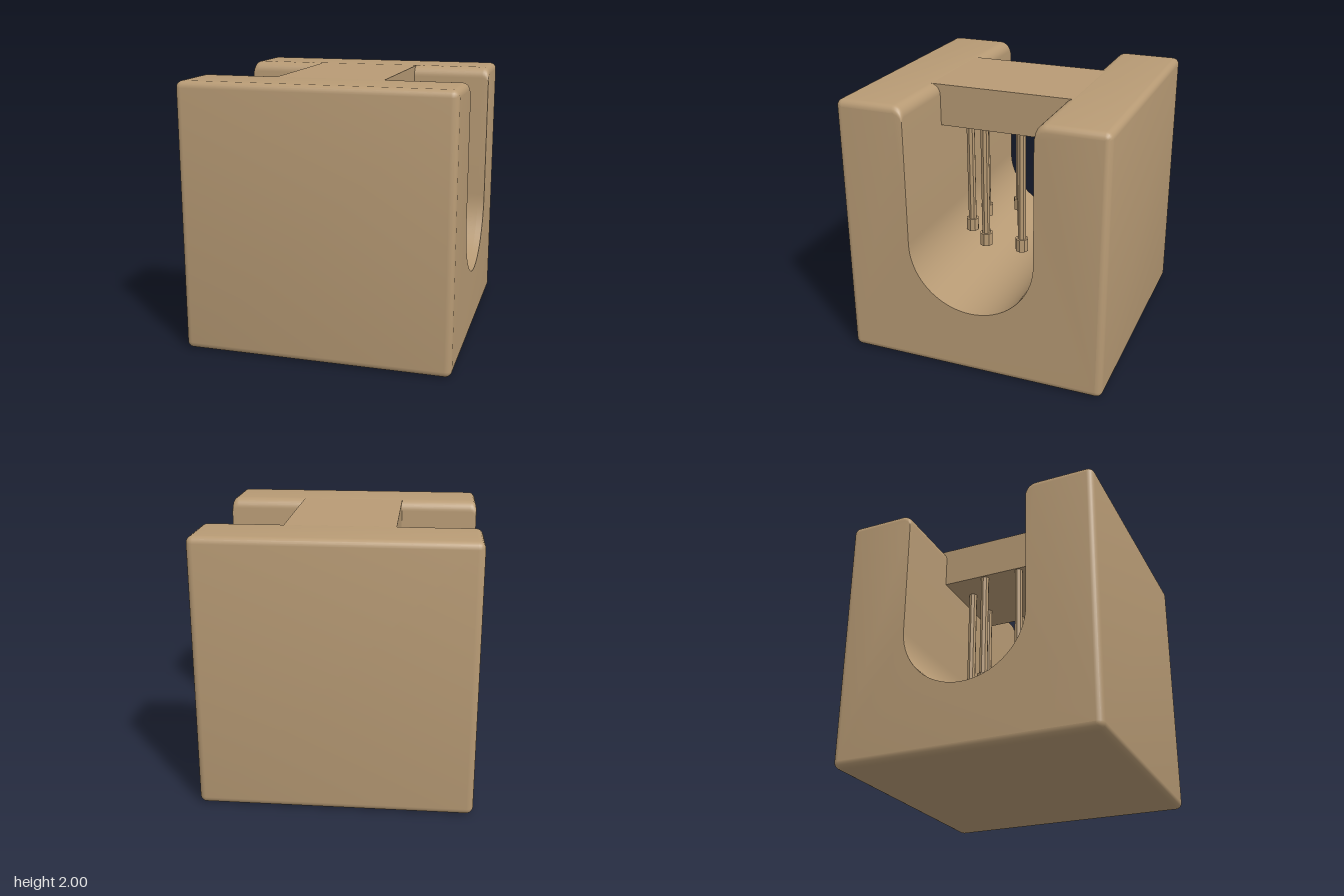
import * as THREE from 'three';
import { toCreasedNormals } from 'three/addons/utils/BufferGeometryUtils.js';

const EDGE = 0.05;   // rounding of the outer edges
const LIP = 0.08;    // rounding of the slot's upper edges
const SLOT = 0.48;   // half width of the slot
const SLOT_Y = 0.97; // centre height of the slot's round floor

// Outline of the block across its width; c is the outer corner radius here
function outline(c) {
  const pts = [];
  const arc = (u, y, r, from, to, n) => {
    for (let i = 0; i <= n; i++) {
      const a = THREE.MathUtils.degToRad(from + (to - from) * i / n);
      pts.push(new THREE.Vector2(u + r * Math.cos(a), y + r * Math.sin(a)));
    }
  };
  const k = 1 - EDGE, top = 2 - EDGE, lipY = top + c - LIP;
  arc(k, EDGE, c, -90, 0, 5);
  arc(k, top, c, 0, 90, 5);
  arc(SLOT + LIP, lipY, LIP, 90, 180, 8);
  arc(0, SLOT_Y, SLOT, 0, -180, 40);
  arc(-SLOT - LIP, lipY, LIP, 0, 90, 8);
  arc(-k, top, c, 90, 180, 5);
  arc(-k, EDGE, c, 180, 270, 5);
  return pts;
}

// Loft the outline along x, rounding the outer edges but not the slot ends
function blockGeometry() {
  const steps = 5, half = [];
  for (let i = 0; i <= steps; i++) {
    const a = (i / steps) * Math.PI / 2;
    half.push({ x: 1 - EDGE + EDGE * Math.sin(a), c: Math.max(0.001, EDGE * Math.cos(a)) });
  }
  const sections = [...half.map((s) => ({ x: -s.x, c: s.c })).reverse(), ...half];
  const loops = sections.map((s) => outline(s.c));
  const n = loops[0].length, pos = [], index = [];
  loops.forEach((loop, i) => loop.forEach((p) => pos.push(sections[i].x, p.y, -p.x)));
  for (let i = 0; i < loops.length - 1; i++) {
    for (let j = 0; j < n; j++) {
      const k = (j + 1) % n;
      const a = i * n + j, b = i * n + k, c = a + n, d = b + n;
      index.push(a, b, c, b, d, c);
    }
  }
  // Flat ends
  const last = (loops.length - 1) * n;
  for (const [a, b, c] of THREE.ShapeUtils.triangulateShape(loops[0], [])) {
    index.push(c, b, a, last + a, last + b, last + c);
  }
  const geo = new THREE.BufferGeometry();
  geo.setAttribute('position', new THREE.Float32BufferAttribute(pos, 3));
  geo.setIndex(index);
  return toCreasedNormals(geo, 0.7);
}

export function createModel() {
  const group = new THREE.Group();
  const tan = new THREE.MeshStandardMaterial({ color: 0xb89b75 });
  tan.name = 'tan';

  const add = (parent, name, geo, x, y, z) => {
    const mesh = new THREE.Mesh(geo, tan);
    mesh.name = name;
    mesh.position.set(x, y, z);
    parent.add(mesh);
    return mesh;
  };

  add(group, 'slottedBlock', blockGeometry(), 0, 0, 0);
  add(group, 'bridge', new THREE.BoxGeometry(0.8, 0.315, 1.1), 0, 1.8415, 0);

  // Ring of eight rods hanging from the bridge, each with a wider foot
  const rodGeo = toCreasedNormals(new THREE.CylinderGeometry(0.033, 0.033, 0.87, 8), 0.5);
  const footGeo = toCreasedNormals(new THREE.CylinderGeometry(0.05, 0.05, 0.1, 8), 0.5);
  for (let i = 0; i < 8; i++) {
    const a = (i + 0.5) * Math.PI / 4;
    const rod = new THREE.Group();
    rod.name = 'hangingRod' + (i + 1);
    rod.position.set(0.386 * Math.cos(a), 0, 0.386 * Math.sin(a));
    add(rod, 'rodShaft', rodGeo, 0, 1.265, 0);
    add(rod, 'rodFoot', footGeo, 0, 0.785, 0);
    group.add(rod);
  }
  return group;
}
